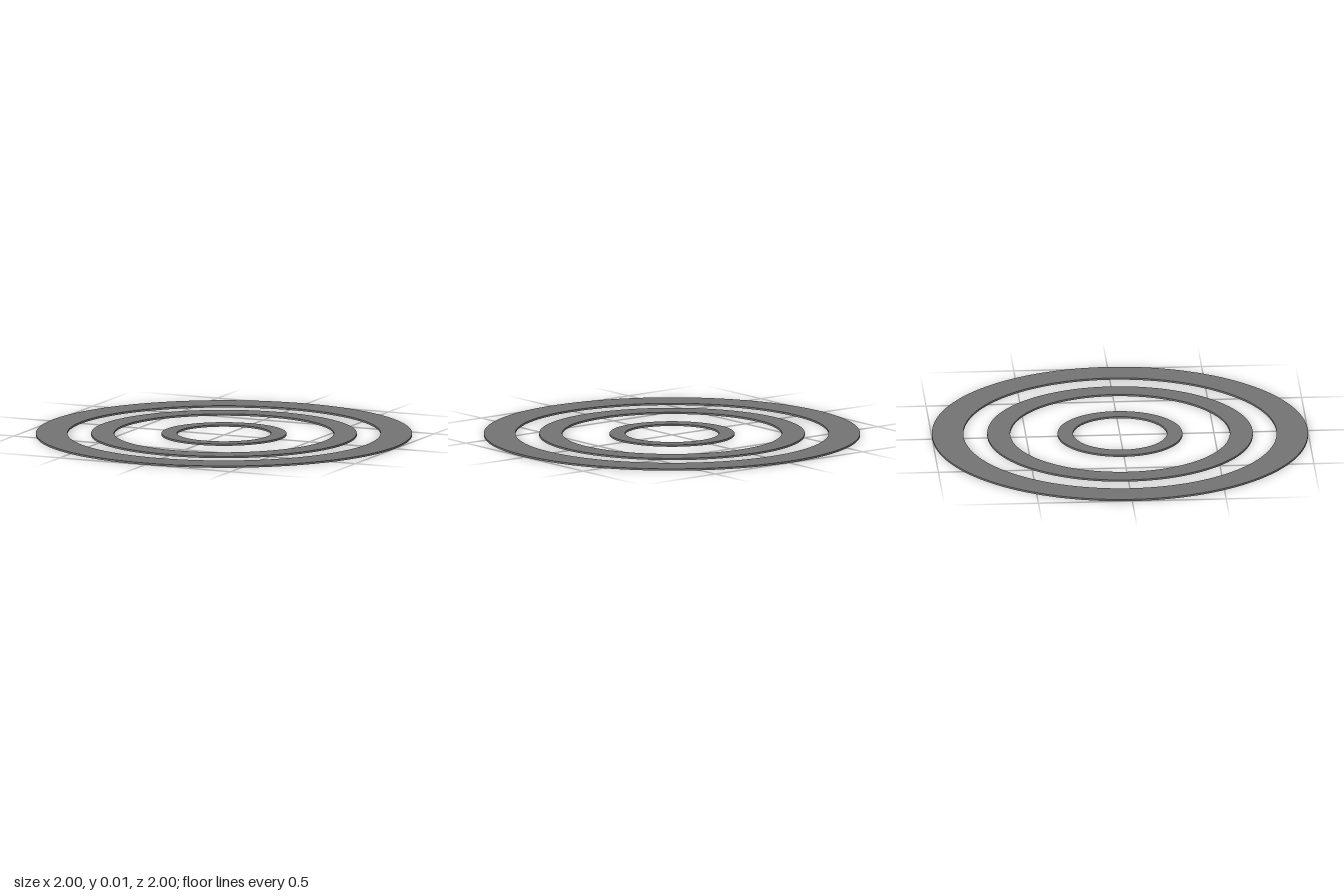
import * as THREE from 'three';

const THICKNESS = 0.01;
const SEGMENTS = 64;

// Flat annular plate lying on y = 0
function makeRing(name, outer, inner, material) {
  const shape = new THREE.Shape().absarc(0, 0, outer, 0, Math.PI * 2, false);
  shape.holes.push(new THREE.Path().absarc(0, 0, inner, 0, Math.PI * 2, true));
  const geometry = new THREE.ExtrudeGeometry(shape, {
    depth: THICKNESS,
    bevelEnabled: false,
    curveSegments: SEGMENTS,
  });
  geometry.rotateX(-Math.PI / 2);
  const mesh = new THREE.Mesh(geometry, material);
  mesh.name = name;
  return mesh;
}

export function createModel() {
  const group = new THREE.Group();
  group.name = 'concentricRings';
  const material = new THREE.MeshStandardMaterial({ color: 0x737373 });

  // Three concentric rings, widening outwards: name, outer radius, inner radius
  const rings = [
    ['outerRing', 1, 0.833],
    ['middleRing', 0.706, 0.584],
    ['innerRing', 0.332, 0.25],
  ];
  for (const [name, outer, inner] of rings) {
    group.add(makeRing(name, outer, inner, material));
  }
  return group;
}
